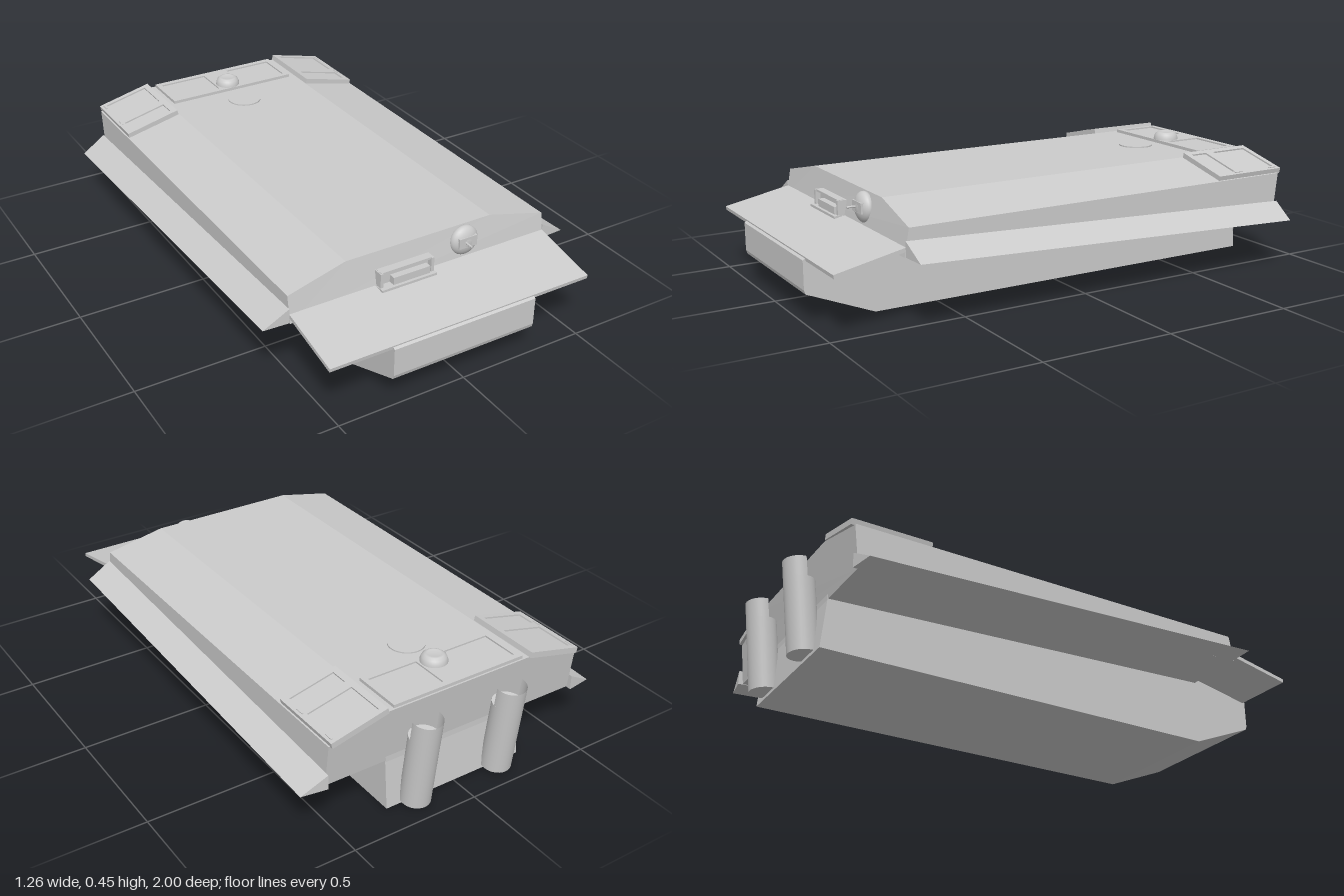
import * as THREE from 'three';

const grey = new THREE.MeshStandardMaterial({ color: 0xcccccc, flatShading: true });
const smooth = new THREE.MeshStandardMaterial({ color: 0xcccccc, side: THREE.DoubleSide });

function add(parent, name, geo, x = 0, y = 0, z = 0, mat = grey) {
  const mesh = new THREE.Mesh(geo, mat);
  mesh.name = name;
  mesh.position.set(x, y, z);
  parent.add(mesh);
  return mesh;
}

const box = (w, h, d) => new THREE.BoxGeometry(w, h, d);

// Solid between a front and a back cross-section, corners counter-clockwise seen from +z
function loft(front, back) {
  const pos = [];
  const tri = (...pts) => pts.forEach((p) => pos.push(...p));
  const n = front.length;
  for (let i = 0; i < n; i++) {
    const j = (i + 1) % n;
    tri(front[i], back[i], back[j]);
    tri(front[i], back[j], front[j]);
    if (i > 0 && i < n - 1) {
      tri(front[0], front[i], front[i + 1]);
      tri(back[0], back[i + 1], back[i]);
    }
  }
  const geo = new THREE.BufferGeometry();
  geo.setAttribute('position', new THREE.Float32BufferAttribute(pos, 3));
  geo.computeVertexNormals();
  return geo;
}

// Side profile of [z, y] points extruded across x
function sideExtrude(points, x0, x1) {
  const shape = new THREE.Shape(points.map(([z, y]) => new THREE.Vector2(z, y)));
  const geo = new THREE.ExtrudeGeometry(shape, { depth: x1 - x0, bevelEnabled: false });
  return geo.rotateY(-Math.PI / 2).translate(x1, 0, 0);
}

// Flat lid with a raised rim around recessed fields; each field is [x, z, w, d]
function panel(name, w, d, h, fields) {
  const g = new THREE.Group();
  g.name = name;
  const rect = (P, x, y, a, b) => new P([[-1, -1], [1, -1], [1, 1], [-1, 1]]
    .map(([i, j]) => new THREE.Vector2(x + i * a / 2, y + j * b / 2)));
  const shape = rect(THREE.Shape, 0, 0, w, d);
  fields.forEach(([x, z, a, b]) => shape.holes.push(rect(THREE.Path, x, -z, a, b)));
  const rim = new THREE.ExtrudeGeometry(shape, { depth: 0.006, bevelEnabled: false });
  add(g, name + 'Rim', rim.rotateX(-Math.PI / 2), 0, h - 0.006, 0);
  add(g, name + 'Base', box(w, h - 0.006, d), 0, (h - 0.006) / 2, 0);
  return g;
}

export function createModel() {
  const model = new THREE.Group();
  model.name = 'armouredHull';

  // Narrow lower hull with wedge nose
  add(model, 'lowerHull', sideExtrude([
    [0.74, 0], [0.995, 0.105], [1, 0.12], [1, 0.225], [0.985, 0.235], [0.73, 0.287],
    [-0.868, 0.22], [-0.868, 0.185], [-0.885, 0],
  ], -0.29, 0.29));

  // Wide upper hull with bevelled roof, floor sinking toward the rear
  const section = (floor, floorZ, eaveZ, roofZ) => [
    [-0.53, floor, floorZ], [0.53, floor, floorZ], [0.53, 0.355, eaveZ],
    [0.3, 0.408, roofZ], [-0.3, 0.408, roofZ], [-0.53, 0.355, eaveZ],
  ];
  add(model, 'upperHull', loft(
    section(0.255, 0.74, 0.722, 0.71), section(0.19, -0.866, -0.885, -0.892)));

  // Front plate with thin fenders over the tracks
  add(model, 'frontFenders', sideExtrude(
    [[0.73, 0.275], [0.99, 0.222], [0.992, 0.236], [0.73, 0.29]], -0.53, 0.53));

  // Wedge-shaped ledges along both sides
  for (const s of [1, -1]) {
    const wedge = (y, z, zOut) => {
      const pts = [[s * 0.53, y, z], [s * 0.628, y, zOut], [s * 0.53, y + 0.056, z]];
      return s > 0 ? pts : pts.reverse();
    };
    add(model, s > 0 ? 'leftLedge' : 'rightLedge',
      loft(wedge(0.255, 0.735, 0.73), wedge(0.187, -0.885, -0.87)));

    // Tilted engine hatch on the roof bevel
    const hatch = panel(s > 0 ? 'leftHatch' : 'rightHatch', 0.228, 0.305, 0.022,
      [[0, -0.055, 0.18, 0.155], [0, 0.095, 0.18, 0.07]]);
    hatch.position.set(s * 0.413, 0.379, -0.745);
    hatch.rotation.z = -s * 0.235;
    model.add(hatch);
    // Hatch hinges
    for (const z of [-0.05, 0.12]) add(hatch, 'hinge', box(0.006, 0.006, 0.035), s * 0.1, 0.022, -z);

    // Exhaust: closed lower pipe, open half shell at the top
    const exhaust = new THREE.Group();
    exhaust.name = s > 0 ? 'leftExhaust' : 'rightExhaust';
    exhaust.position.set(s * 0.18, 0.012, -0.899);
    exhaust.rotation.x = -0.122;
    add(exhaust, 'exhaustPipe', new THREE.CylinderGeometry(0.056, 0.056, 0.28, 28), 0, 0.14, 0, smooth);
    add(exhaust, 'exhaustMouth', new THREE.CylinderGeometry(
      0.056, 0.056, 0.075, 20, 1, true, Math.PI / 2 - 0.15, Math.PI + 0.3), 0, 0.317, 0, smooth);
    model.add(exhaust);
  }

  // Rear deck panel with two recessed fields
  const deck = panel('rearDeckPanel', 0.55, 0.195, 0.013,
    [[-0.155, 0, 0.2, 0.15], [0.155, 0, 0.2, 0.15]]);
  deck.position.set(0, 0.407, -0.788);
  model.add(deck);

  // Domed ventilator
  const dome = [[0.07, 0.415], [0.05, 0.417], [0.049, 0.428], [0.044, 0.441], [0.034, 0.449],
    [0.025, 0.451], [0.023, 0.447], [0, 0.447]].map(([r, y]) => new THREE.Vector2(r, y));
  dome[0].x = 0.05;
  add(model, 'ventilatorDome', new THREE.LatheGeometry(dome, 32), 0, 0, -0.742, smooth);

  // Round cover on the roof
  add(model, 'roofCover', new THREE.CylinderGeometry(0.068, 0.068, 0.006, 36), 0, 0.41, -0.586);

  // Vision port: tray, side cheeks, back plate and block
  const port = new THREE.Group();
  port.name = 'visionPort';
  port.position.set(-0.08, 0, 0);
  add(port, 'portTray', box(0.225, 0.016, 0.05), 0, 0.282, 0.75);
  add(port, 'portBack', box(0.22, 0.062, 0.02), 0, 0.314, 0.73);
  for (const s of [1, -1]) add(port, 'portCheek', box(0.012, 0.058, 0.035), s * 0.104, 0.316, 0.742);
  add(port, 'portBlock', box(0.15, 0.028, 0.03), 0.015, 0.305, 0.75);
  add(port, 'portLip', box(0.21, 0.008, 0.03), 0, 0.342, 0.74);
  model.add(port);

  // Round ball mount with slotted plate and short barrel
  const ball = new THREE.Group();
  ball.name = 'ballMount';
  ball.position.set(0.18, 0.35, 0.722);
  const shell = add(ball, 'ballShell', new THREE.SphereGeometry(0.057, 28, 18), 0, 0, 0, smooth);
  shell.scale.z = 0.55;
  add(ball, 'ballPlate', box(0.075, 0.04, 0.012), 0, 0.004, 0.024);
  const barrel = new THREE.CylinderGeometry(0.004, 0.004, 0.04, 10).rotateX(Math.PI / 2);
  add(ball, 'ballBarrel', barrel, -0.01, 0.004, 0.043);
  model.add(ball);

  return model;
}
